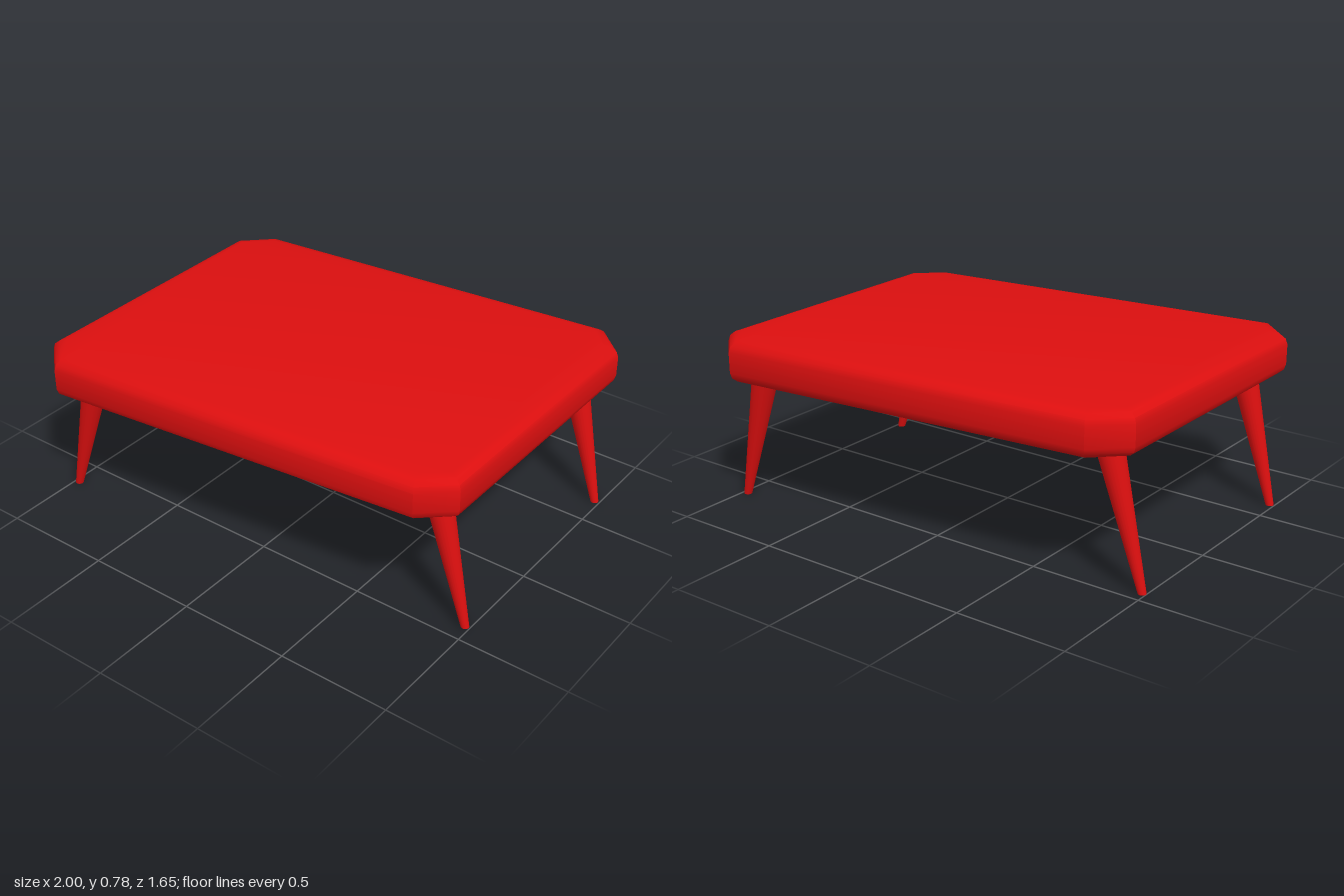
import * as THREE from 'three';
import { toCreasedNormals } from 'three/addons/utils/BufferGeometryUtils.js';

const TOP = 0.785, UNDERSIDE = 0.595, BEVEL_HEIGHT = 0.05, BEVEL_WIDTH = 0.06;

// Slanted slab with clipped corners and softened edges
function slabGeometry() {
  const outline = [
    [-0.985, -0.53], [-0.845, -0.665], [0.855, -0.828], [0.988, -0.70],
    [0.988, 0.525], [0.855, 0.645], [-0.845, 0.822], [-0.985, 0.69],
  ].map(([x, z]) => new THREE.Vector2(x, z));
  const geometry = new THREE.ExtrudeGeometry(new THREE.Shape(outline), {
    depth: TOP - UNDERSIDE - 2 * BEVEL_HEIGHT,
    bevelThickness: BEVEL_HEIGHT,
    bevelSize: BEVEL_WIDTH,
    bevelOffset: -BEVEL_WIDTH,
    bevelSegments: 3,
  });
  geometry.rotateX(Math.PI / 2).translate(0, TOP - BEVEL_HEIGHT, 0);
  return toCreasedNormals(geometry, 0.6);
}

// Tapered leg leaning from its foot (x, z) to its top (x, z), with level ends
function legGeometry([footX, footZ], [topX, topZ]) {
  const bottom = 0.003, height = UNDERSIDE + 0.01 - bottom;
  const geometry = new THREE.CylinderGeometry(0.06, 0.018, height, 24);
  const shear = new THREE.Matrix4().set(
    1, (topX - footX) / height, 0, (topX + footX) / 2,
    0, 1, 0, bottom + height / 2,
    0, (topZ - footZ) / height, 1, (topZ + footZ) / 2,
    0, 0, 0, 1,
  );
  return geometry.applyMatrix4(shear);
}

export function createModel() {
  const model = new THREE.Group();
  model.name = 'table';
  const red = new THREE.MeshStandardMaterial({ color: 0xdc0f0f });

  const add = (name, geometry) => {
    const mesh = new THREE.Mesh(geometry, red);
    mesh.name = name;
    model.add(mesh);
  };

  add('tableTop', slabGeometry());

  // Legs splay outward to the sides, following the slanted top
  const legs = {
    frontRightLeg: [[-0.978, 0.632], [-0.82, 0.617]],
    backRightLeg: [[-0.982, -0.442], [-0.82, -0.455]],
    frontLeftLeg: [[0.977, 0.417], [0.817, 0.415]],
    backLeftLeg: [[0.975, -0.655], [0.817, -0.655]],
  };
  for (const [name, [foot, top]] of Object.entries(legs)) add(name, legGeometry(foot, top));

  return model;
}
